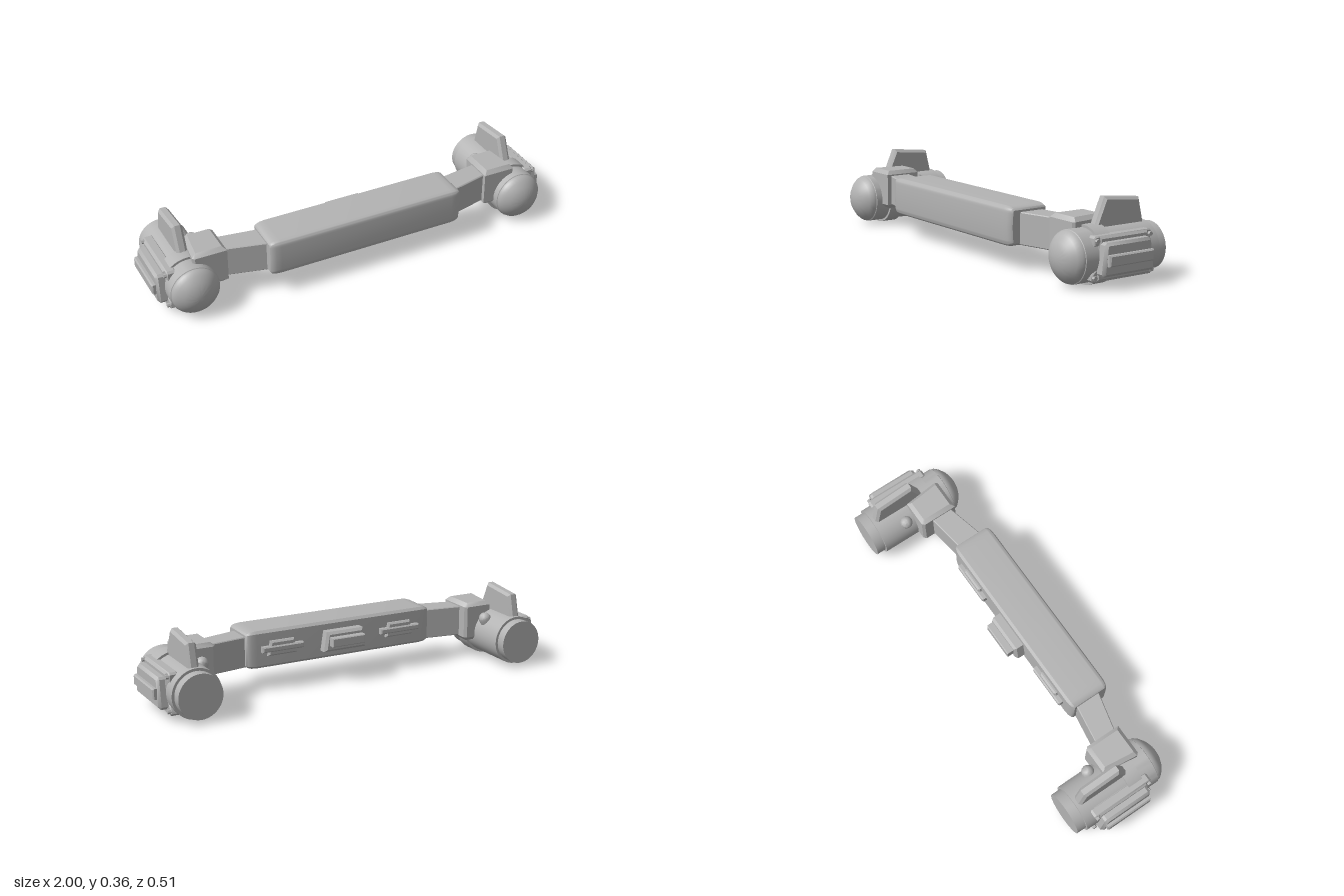
import * as THREE from 'three';
import { toCreasedNormals } from 'three/addons/utils/BufferGeometryUtils.js';

export function createModel() {
  const model = new THREE.Group();
  const grey = new THREE.MeshStandardMaterial({ color: 0xb3b3b3 });
  grey.name = 'plain grey';

  function add(name, geometry, crease = 0.6) {
    const mesh = new THREE.Mesh(toCreasedNormals(geometry, crease), grey);
    mesh.name = name;
    model.add(mesh);
  }

  // Adds a left part and its copy mirrored in x, with the winding turned back
  function addPair(name, geometry, crease) {
    const g = geometry.index ? geometry.toNonIndexed() : geometry;
    const m = g.clone().scale(-1, 1, 1);
    for (const key of ['position', 'normal']) {
      const a = m.attributes[key];
      for (let i = 0; i < a.count; i += 3) {
        const p = [a.getX(i + 1), a.getY(i + 1), a.getZ(i + 1)];
        a.setXYZ(i + 1, a.getX(i + 2), a.getY(i + 2), a.getZ(i + 2));
        a.setXYZ(i + 2, ...p);
      }
    }
    add(name + 'Left', g, crease);
    add(name + 'Right', m, crease);
  }

  // Outline extruded from 'from' to 'to', with the bevel kept inside the outline
  function extrude(shape, from, to, bevel = 0, size = bevel, segments = 1) {
    return new THREE.ExtrudeGeometry(shape, {
      depth: to - from - 2 * bevel, bevelEnabled: bevel > 0, bevelThickness: bevel,
      bevelSize: size, bevelOffset: -size, bevelSegments: segments, curveSegments: 6,
    }).translate(0, 0, from + bevel);
  }
  const poly = (pts, fx) => new THREE.Shape(pts.map(([a, b]) => new THREE.Vector2(...fx(a, b))));
  // Outline in (z, y), extruded along x
  const sideways = (pts, from, to, bevel, size) =>
    extrude(poly(pts, (z, y) => [-z, y]), from, to, bevel, size).rotateY(Math.PI / 2);
  // Outline in (x, z), extruded along y
  const upward = (pts, from, to, bevel) =>
    extrude(poly(pts, (x, z) => [x, -z]), from, to, bevel).rotateX(-Math.PI / 2);
  // Outline in (x, y), extruded along z
  const forward = (pts, from, to, bevel) =>
    extrude(poly(pts, (x, y) => [x, y]), from, to, bevel);
  const rect = (a0, a1, b0, b1) => [[a0, b0], [a1, b0], [a1, b1], [a0, b1]];

  // Central beam with softened edges and tapered ends
  const section = new THREE.Shape();
  const [z0, z1, y0, y1, r] = [-0.234, -0.028, 0.108, 0.285, 0.028];
  section.moveTo(z0 + r, y0);
  section.lineTo(z1 - 0.012, y0);
  section.lineTo(z1, y0 + 0.012);
  section.lineTo(z1, y1 - 0.012);
  section.lineTo(z1 - 0.012, y1);
  section.lineTo(z0 + r, y1);
  section.quadraticCurveTo(z0 + 0.004, y1, z0 + 0.004, y1 - r);
  section.lineTo(z0, (y0 + y1) / 2);
  section.lineTo(z0 + 0.004, y0 + r);
  section.quadraticCurveTo(z0 + 0.004, y0, z0 + r, y0);
  add('centralBeam', extrude(section, -0.483, 0.483, 0.05, 0.016, 3).rotateY(Math.PI / 2));

  // Fittings on the back of the beam
  add('rearBracket', forward([[-0.11, 0.15], [0.11, 0.15], [0.095, 0.245], [-0.095, 0.245]], -0.02, 0.04, 0.012));
  add('rearBlock', forward(rect(-0.085, 0.085, 0.18, 0.222), -0.053, 0, 0.004));
  addPair('rearPlate', forward([[0.235, 0.165], [0.385, 0.165], [0.37, 0.235], [0.25, 0.235]], 0.012, 0.04, 0.008));
  addPair('rearBar', forward(rect(0.205, 0.415, 0.185, 0.213), 0.005, 0.04, 0.006));

  // Swept arms and the mounts that hold the pods
  addPair('arm', upward([[0.44, 0.062], [0.72, 0.02], [0.72, 0.12], [0.44, 0.188]], 0.115, 0.26, 0.004));
  addPair('podMount', upward([[0.66, -0.015], [0.672, -0.027], [0.8, -0.027], [0.82, 0.145],
    [0.81, 0.155], [0.66, 0.155]], 0.095, 0.284, 0.018));

  // Pods: round body, domed nose, recessed tail
  const X = 0.83, Y = 0.1275;
  const pod = new THREE.LatheGeometry([
    [0, -0.255], [0.1035, -0.255], [0.1035, -0.21], [0.1155, -0.21], [0.1155, 0.185],
    [0.112, 0.187], [0.11, 0.2], [0.096, 0.217], [0.07, 0.237], [0.045, 0.248], [0.022, 0.2535], [0, 0.255],
  ].map(([a, b]) => new THREE.Vector2(a, b)), 40);
  addPair('pod', pod.rotateX(Math.PI / 2).translate(X, Y, 0));
  addPair('podBand', new THREE.CylinderGeometry(0.1265, 0.1265, 0.073, 40)
    .rotateX(Math.PI / 2).translate(X, Y, 0.0735));

  // Fin on top of each pod
  addPair('fin', sideways([[0.075, 0.225], [-0.2, 0.225], [-0.172, 0.346], [0.016, 0.365]], 0.808, 0.858, 0.012));

  // Small lug on the inner shoulder of each pod
  addPair('innerLug', new THREE.CapsuleGeometry(0.03, 0.05, 4, 12)
    .rotateZ(0.5).translate(0.757, 0.19, -0.07));

  // Outer side panel: skirt, flanges with bolts, raised block, bar
  addPair('panelSkirt', sideways([[0.13, 0.035], [-0.16, 0.035], [-0.145, 0.222], [0.115, 0.222]], 0.88, 0.945, 0.01));
  addPair('upperFlange', sideways([[0.14, 0.182], [-0.165, 0.182], [-0.168, 0.215], [-0.158, 0.224],
    [0.13, 0.224], [0.14, 0.215]], 0.895, 0.938, 0.005));
  addPair('lowerFlange', sideways([[0.143, 0.032], [-0.168, 0.032], [-0.177, 0.042], [-0.172, 0.065],
    [-0.155, 0.085], [0.13, 0.085], [0.15, 0.065], [0.152, 0.042]], 0.89, 0.938, 0.005));
  addPair('panelBlock', sideways([[0.118, 0.058], [-0.145, 0.058], [-0.153, 0.07], [-0.136, 0.19],
    [-0.125, 0.2], [0.1, 0.2], [0.112, 0.19], [0.126, 0.07]], 0.9, 0.982, 0.012));
  addPair('panelBar', sideways(rect(-0.132, 0.106, 0.103, 0.152), 0.95, 1.0, 0.006));
  for (const [z, y] of [[0.128, 0.205], [-0.155, 0.205], [0.14, 0.052], [-0.165, 0.052]]) {
    addPair('bolt', new THREE.CylinderGeometry(0.01, 0.01, 0.05, 6)
      .rotateZ(Math.PI / 2).translate(0.925, y, z));
  }
  return model;
}
